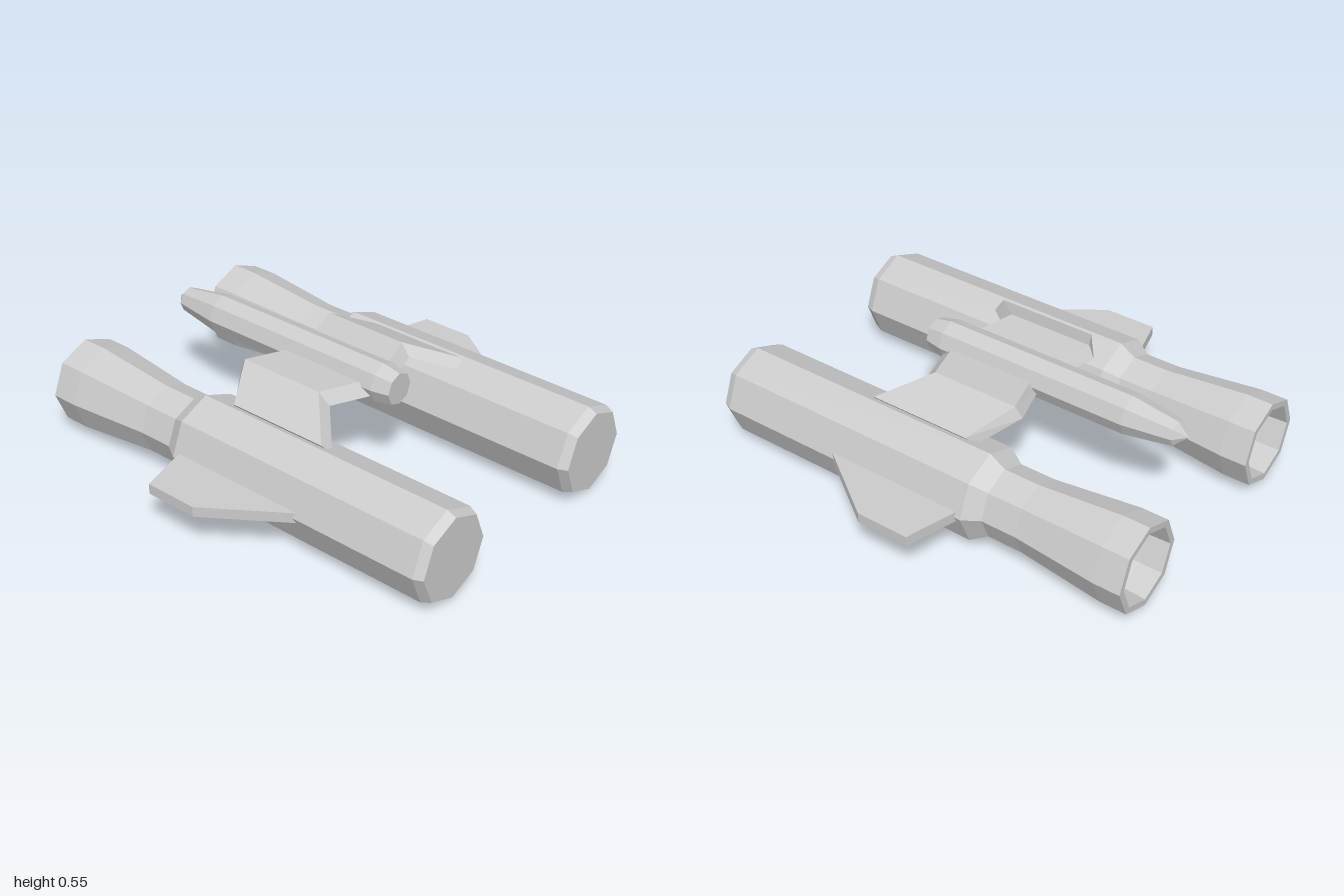
import * as THREE from 'three';

const material = new THREE.MeshStandardMaterial({ color: 0xcccccc, flatShading: true });

function part(name, geometry, parent) {
  const mesh = new THREE.Mesh(geometry, material);
  mesh.name = name;
  parent.add(mesh);
  return mesh;
}

// Eight-sided turned body along z, profile given as [radius, z]
function turned(profile) {
  const points = profile.map(([r, z]) => new THREE.Vector2(r, z));
  return new THREE.LatheGeometry(points, 8).rotateX(Math.PI / 2);
}

// Bent plate lofted through four-cornered sections, each corner [x, y, z]
function loft(sections) {
  const index = [];
  const last = (sections.length - 1) * 4;
  for (let s = 0; s < last; s += 4) {
    for (let k = 0; k < 4; k++) {
      const a = s + k, b = s + (k + 1) % 4;
      index.push(a, b, b + 4, a, b + 4, a + 4);
    }
  }
  index.push(0, 2, 1, 0, 3, 2);
  index.push(last, last + 1, last + 2, last, last + 2, last + 3);
  const geometry = new THREE.BufferGeometry();
  geometry.setAttribute('position', new THREE.Float32BufferAttribute(sections.flat(2), 3));
  geometry.setIndex(index);
  geometry.computeVertexNormals();
  return geometry;
}

export function createModel() {
  const model = new THREE.Group();
  model.name = 'twinEngineCraft';

  // Engines: hollow nozzle, waist, long barrel, bevelled front
  const engine = turned([
    [0, -0.5], [0.1, -0.5], [0.16, -0.9], [0.165, -1], [0.194, -1], [0.194, -0.88],
    [0.156, -0.5], [0.156, -0.34], [0.201, -0.27], [0.201, 0.96], [0.183, 1], [0, 1],
  ]);

  // Side fin outline in plan, drawn as (x, -z) and laid flat
  const outline = [[0.62, 0.45], [0.89, 0.06], [0.89, -0.18], [0.62, -0.255]];
  const shape = side => new THREE.Shape(outline.map(([x, z]) => new THREE.Vector2(side * x, -z)));

  for (const [side, label] of [[1, 'left'], [-1, 'right']]) {
    part(label + 'Engine', engine, model).position.set(side * 0.47, 0.203, 0);
    const fin = new THREE.ExtrudeGeometry(shape(side), { depth: 0.046, bevelEnabled: false });
    part(label + 'Fin', fin.rotateX(-Math.PI / 2), model).position.y = 0.18;
  }

  // Central pod with a pointed tail
  part('centralPod', turned([
    [0, -0.88], [0.055, -0.83], [0.088, -0.62], [0.088, 0.28], [0.071, 0.36], [0, 0.36],
  ]), model).position.y = 0.466;

  // Swept bridge: top x, y, back z, front z, then bottom x, y, back z, front z
  const half = [
    [0.45, 0.405, -0.13, 0.335, 0.42, 0.365, -0.16, 0.365],
    [0.265, 0.495, -0.24, 0.16, 0.255, 0.445, -0.27, 0.21],
    [0, 0.475, -0.155, 0.245, 0, 0.425, -0.185, 0.295],
  ];
  const section = side => ([tx, ty, tb, tf, bx, by, bb, bf]) => [
    [side * tx, ty, tb], [side * tx, ty, tf], [side * bx, by, bf], [side * bx, by, bb],
  ];
  part('bridgeWing', loft([
    ...half.map(section(-1)),
    ...half.slice(0, 2).reverse().map(section(1)),
  ]), model);

  return model;
}
